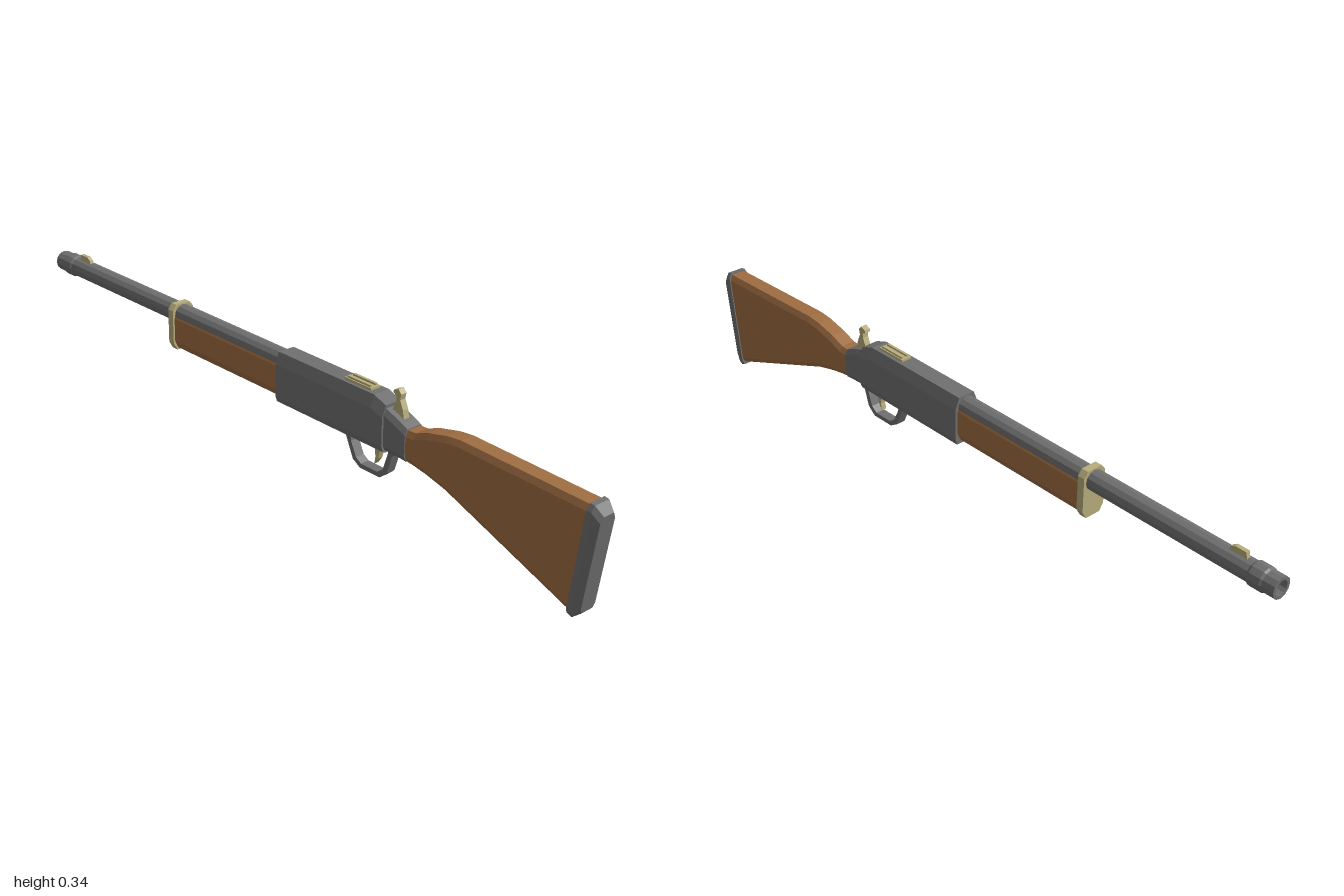
import * as THREE from 'three';

const material = (color) => new THREE.MeshStandardMaterial({ color, flatShading: true, side: THREE.DoubleSide });

// Chamfered rectangular section; its z leans from zb at the bottom to zt at the top.
function ring({ zt, zb = zt, yt, yb, w, top = [0.008, 0.015], bottom = [0.006, 0.012] }) {
  const half = [
    [w - bottom[0], yb], [w, yb + bottom[1]],
    [w, yt - top[1]], [w - top[0], yt],
  ];
  const outline = [...half, ...half.map(([x, y]) => [-x, y]).reverse()];
  return outline.map(([x, y]) => [x, y, zb + (zt - zb) * (y - yb) / (yt - yb)]);
}

// Skin consecutive sections, ordered from +z to -z, and close both ends.
function loft(sections) {
  const rings = sections.map(ring);
  const n = rings[0].length;
  const index = [];
  for (let i = 0; i < rings.length - 1; i++) {
    for (let j = 0; j < n; j++) {
      const a = i * n + j, b = i * n + (j + 1) % n;
      index.push(a, a + n, b, b, a + n, b + n);
    }
  }
  const last = (rings.length - 1) * n;
  for (let j = 1; j < n - 1; j++) {
    index.push(0, j, j + 1, last, last + j + 1, last + j);
  }
  const geometry = new THREE.BufferGeometry();
  geometry.setAttribute('position', new THREE.Float32BufferAttribute(rings.flat(2), 3));
  geometry.setIndex(index);
  const flat = geometry.toNonIndexed();
  flat.computeVertexNormals();
  return flat;
}

// Extrude a side outline given as [z, y] points, centred across x.
function sidePlate(points, width, hole) {
  const toVectors = (list) => list.map(([z, y]) => new THREE.Vector2(z, y));
  const shape = new THREE.Shape(toVectors(points));
  if (hole) shape.holes.push(new THREE.Path(toVectors(hole)));
  const geometry = new THREE.ExtrudeGeometry(shape, { depth: width, bevelEnabled: false });
  return geometry.translate(0, 0, -width / 2).rotateY(-Math.PI / 2);
}

export function createModel() {
  const model = new THREE.Group();
  const steel = material(0x707070);
  const wood = material(0xa06e42);
  const brass = material(0xb8ad7c);

  function add(name, geometry, mat, position = [0, 0, 0]) {
    const mesh = new THREE.Mesh(geometry, mat);
    mesh.name = name;
    mesh.position.set(...position);
    model.add(mesh);
    return mesh;
  }

  // Butt plate and shoulder stock
  add('buttPlate', loft([
    { zt: 1.0, yt: 0.262, zb: 0.966, yb: 0.016, w: 0.024 },
    { zt: 0.98, yt: 0.283, zb: 0.946, yb: 0, w: 0.031 },
    { zt: 0.967, yt: 0.285, zb: 0.932, yb: 0.005, w: 0.031 },
  ]), steel);
  add('stock', loft([
    { zt: 0.97, yt: 0.28, zb: 0.936, yb: 0.012, w: 0.028 },
    { zt: 0.6, yt: 0.291, yb: 0.138, w: 0.028 },
    { zt: 0.56, yt: 0.287, yb: 0.153, w: 0.028 },
    { zt: 0.5, yt: 0.273, yb: 0.168, w: 0.028 },
    { zt: 0.46, yt: 0.258, yb: 0.175, w: 0.028 },
    { zt: 0.425, yt: 0.256, yb: 0.179, w: 0.028 },
  ]), wood);

  // Receiver with its sloping rear tang
  add('tang', loft([
    { zt: 0.435, yt: 0.259, yb: 0.177, w: 0.03 },
    { zt: 0.415, yt: 0.268, yb: 0.179, w: 0.03 },
    { zt: 0.36, yt: 0.29, yb: 0.182, w: 0.031 },
  ]), steel);
  const shoulder = { top: [0.012, 0.03], bottom: [0.005, 0.015], w: 0.036, yb: 0.178 };
  add('receiver', loft([
    { ...shoulder, zt: 0.365, yt: 0.296 },
    { ...shoulder, zt: 0.325, yt: 0.31 },
    { ...shoulder, zt: -0.015, yt: 0.31 },
  ]), steel);

  // Hollow barrel with a stepped muzzle
  const barrelProfile = [
    [0.027, -0.05], [0.027, 0.925], [0.031, 0.932], [0.031, 0.962],
    [0.028, 0.968], [0.028, 1.0], [0.019, 1.0], [0.019, 0.93], [0, 0.93],
  ].map(([r, y]) => new THREE.Vector2(r, y));
  add('barrel', new THREE.LatheGeometry(barrelProfile, 12).rotateX(-Math.PI / 2), steel, [0, 0.28, 0]);

  // Wooden fore-end and the band that ties it to the barrel
  const foreEnd = { yt: 0.278, yb: 0.188, w: 0.029, top: [0.003, 0.006], bottom: [0.01, 0.02] };
  add('foreEnd', loft([{ ...foreEnd, zt: 0 }, { ...foreEnd, zt: -0.442 }]), wood);
  const band = { yt: 0.31, yb: 0.182, w: 0.034, top: [0.012, 0.015], bottom: [0.012, 0.02] };
  add('barrelBand', loft([{ ...band, zt: -0.436 }, { ...band, zt: -0.456 }]), brass);

  // Trigger guard and trigger
  add('triggerGuard', sidePlate([
    [0.4, 0.187], [0.378, 0.165], [0.362, 0.115], [0.338, 0.095],
    [0.27, 0.095], [0.245, 0.11], [0.222, 0.16], [0.208, 0.187],
  ], 0.026, [
    [0.368, 0.18], [0.362, 0.16], [0.348, 0.12], [0.33, 0.107],
    [0.274, 0.107], [0.256, 0.118], [0.238, 0.155], [0.234, 0.18],
  ]), steel);
  add('trigger', sidePlate([
    [0.358, 0.185], [0.35, 0.163], [0.332, 0.16], [0.326, 0.138], [0.313, 0.12],
    [0.317, 0.14], [0.314, 0.16], [0.31, 0.185],
  ], 0.014), brass);

  // Hammer with a thumb spur
  add('hammer', sidePlate([
    [0.41, 0.265], [0.405, 0.292], [0.395, 0.315], [0.398, 0.33], [0.389, 0.341],
    [0.374, 0.335], [0.372, 0.328], [0.383, 0.322], [0.382, 0.31], [0.372, 0.285], [0.372, 0.265],
  ], 0.017), brass);

  // Rear sight base with a groove between two rails
  add('rearSightBase', new THREE.BoxGeometry(0.03, 0.008, 0.09), brass, [0, 0.312, 0.26]);
  for (const side of [-1, 1]) {
    add('rearSightRail', new THREE.BoxGeometry(0.007, 0.008, 0.078), brass, [side * 0.0085, 0.317, 0.26]);
  }

  // Front sight blade
  add('frontSight', sidePlate([
    [-0.858, 0.3], [-0.862, 0.315], [-0.873, 0.322], [-0.905, 0.322], [-0.91, 0.3],
  ], 0.011), brass);

  return model;
}
